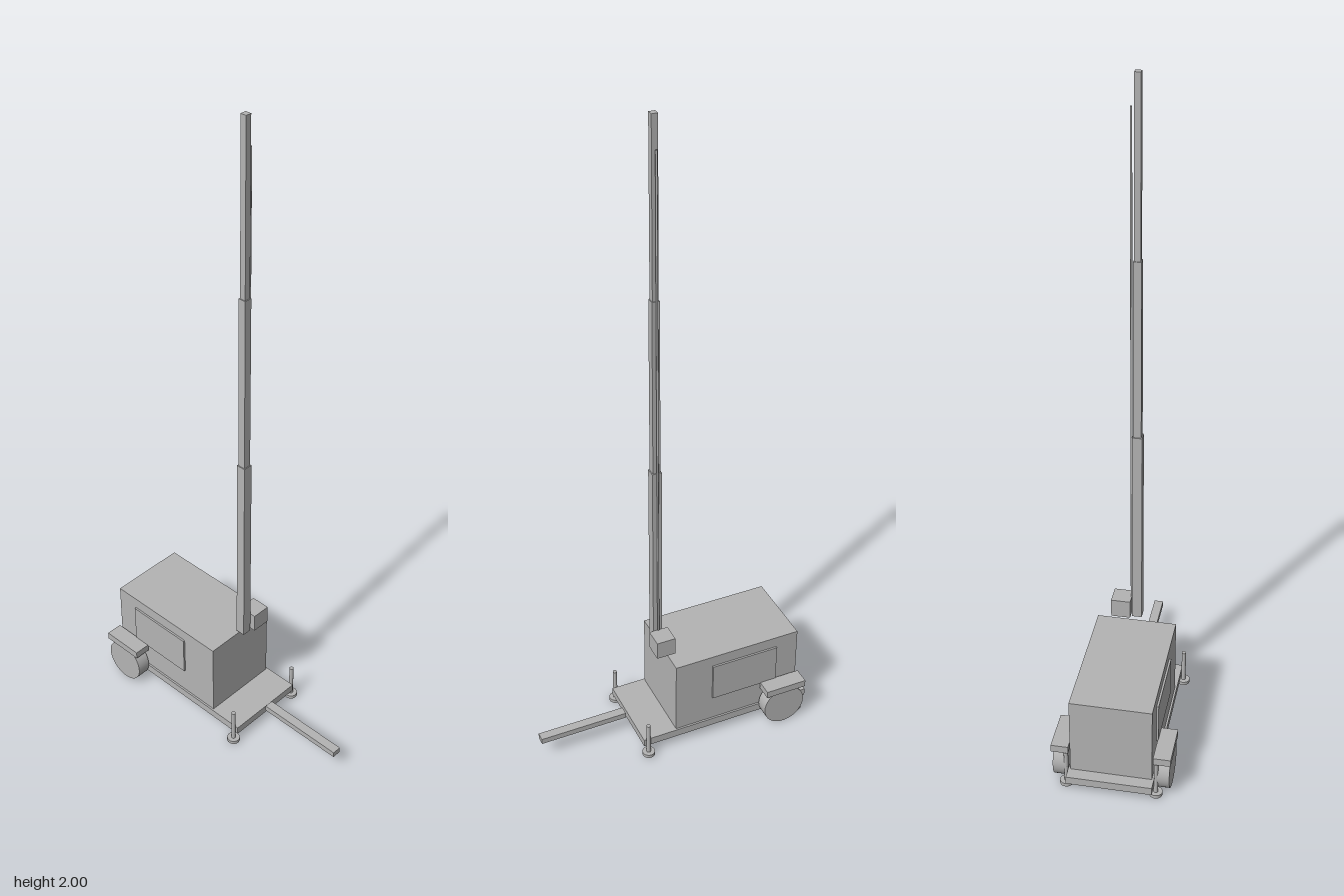
import * as THREE from 'three';

export function createModel() {
  const model = new THREE.Group();
  const grey = new THREE.MeshStandardMaterial({ color: 0xb4b4b4 });
  grey.name = 'paintedGrey';

  const add = (name, geometry, x, y, z) => {
    const mesh = new THREE.Mesh(geometry, grey);
    mesh.name = name;
    mesh.position.set(x, y, z);
    model.add(mesh);
    return mesh;
  };
  // Box given by its limits on each axis
  const box = (name, x0, x1, y0, y1, z0, z1) =>
    add(name, new THREE.BoxGeometry(x1 - x0, y1 - y0, z1 - z0),
      (x0 + x1) / 2, (y0 + y1) / 2, (z0 + z1) / 2);
  // Upright cylinder from y0 to y1
  const post = (name, r, y0, y1, x, z) =>
    add(name, new THREE.CylinderGeometry(r, r, y1 - y0, 24), x, (y0 + y1) / 2, z);

  // Trailer bed, housing and tow bar
  box('chassis', -0.126, 0.126, 0.035, 0.06, -0.423, 0.131);
  box('housing', -0.12, 0.12, 0.06, 0.307, -0.387, 0.022);
  box('towBar', -0.014, 0.014, 0.062, 0.08, 0.144, 0.42);

  // Telescopic mast, each stage slimmer than the last
  const mastZ = 0.035;
  [[0.0145, 0.32, 0.95], [0.0115, 0.95, 1.49], [0.009, 1.49, 2]].forEach(([h, y0, y1], i) =>
    box('mastStage' + (i + 1), -h, h, y0, y1, mastZ - h, mastZ + h));

  // Cable beside the mast and its control box
  post('mastCable', 0.003, 0.38, 1.91, 0.0185, mastZ);
  box('controlBox', 0.018, 0.076, 0.325, 0.383, 0.005, 0.064);

  for (const s of [-1, 1]) {
    const side = s > 0 ? 'left' : 'right';
    // Side access door
    add(side + 'Door', new THREE.BoxGeometry(0.006, 0.127, 0.216), s * 0.123, 0.208, -0.207);
    // Wheel and fender
    const wheel = add(side + 'Wheel', new THREE.CylinderGeometry(0.067, 0.067, 0.042, 40),
      s * 0.15, 0.07, -0.325);
    wheel.rotation.z = Math.PI / 2;
    add(side + 'Fender', new THREE.BoxGeometry(0.051, 0.023, 0.132), s * 0.1495, 0.136, -0.328);
    // Stabiliser jacks with round feet
    for (const [end, z] of [['Front', 0.119], ['Rear', -0.386]]) {
      post(side + end + 'Jack', 0.0065, 0.012, 0.122, s * 0.132, z);
      post(side + end + 'Foot', 0.0195, 0.006, 0.017, s * 0.132, z);
    }
  }
  // Lowest point rests on the ground
  model.position.y = -0.003;
  const root = new THREE.Group();
  root.name = 'mastTrailer';
  root.add(model);
  return root;
}
